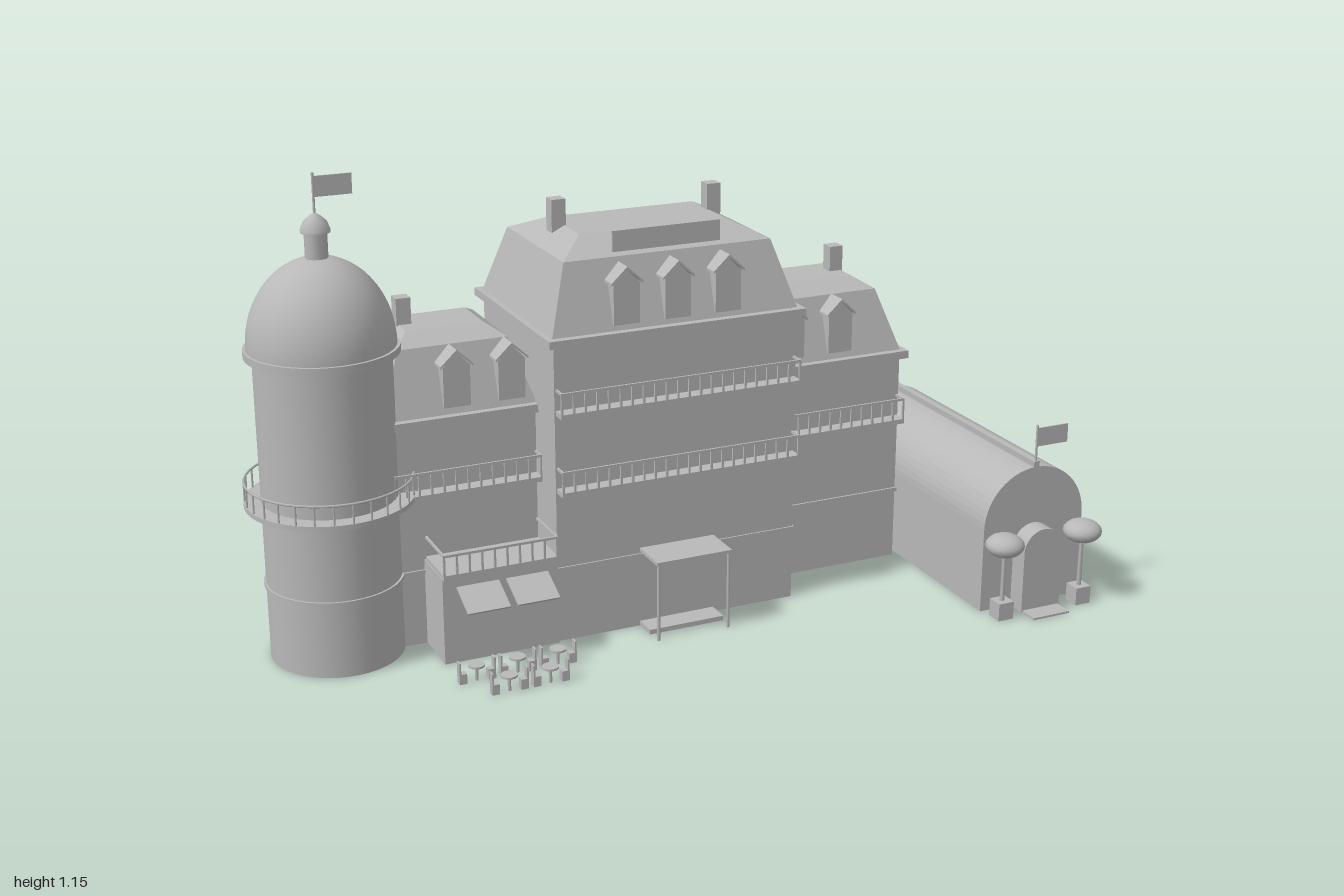
import * as THREE from 'three';

export function createModel() {
  const root = new THREE.Group();
  root.name = 'grandHotel';
  const stone = new THREE.MeshStandardMaterial({ color: 0xb8b8b8, side: THREE.DoubleSide });
  stone.name = 'pale grey';

  const add = (geo, name, x = 0, y = 0, z = 0, parent = root) => {
    const m = new THREE.Mesh(geo, stone);
    m.name = name;
    m.position.set(x, y, z);
    parent.add(m);
    return m;
  };
  // box given by its minimum and maximum corners
  const box = (name, x0, x1, y0, y1, z0, z1, parent = root) =>
    add(new THREE.BoxGeometry(x1 - x0, y1 - y0, z1 - z0), name,
      (x0 + x1) / 2, (y0 + y1) / 2, (z0 + z1) / 2, parent);
  const cyl = (name, rTop, rBot, y0, y1, x, z, seg = 8, parent = root) =>
    add(new THREE.CylinderGeometry(rTop, rBot, y1 - y0, seg), name, x, (y0 + y1) / 2, z, parent);
  const group = (name, x = 0, y = 0, z = 0) => {
    const g = new THREE.Group();
    g.name = name;
    g.position.set(x, y, z);
    root.add(g);
    return g;
  };

  // truncated pyramid between two centred rectangles
  const frustum = (name, w0, d0, w1, d1, y0, y1, x, z) => {
    const g = new THREE.BoxGeometry(1, 1, 1);
    const p = g.attributes.position;
    for (let i = 0; i < p.count; i++) {
      const up = p.getY(i) > 0;
      p.setXYZ(i, p.getX(i) * (up ? w1 : w0), up ? y1 : y0, p.getZ(i) * (up ? d1 : d0));
    }
    g.computeVertexNormals();
    return add(g, name, x, 0, z);
  };

  // mansard roof: steep lower slope and shallow upper slope
  const mansard = (name, x, z, y, w, d, h, topW, topD, topH) => {
    frustum(name + 'LowerRoof', w, d, w - 0.1, d - 0.1, y, y + h, x, z);
    frustum(name + 'UpperRoof', w - 0.1, d - 0.1, topW, topD, y + h, y + h + topH, x, z);
  };

  // gabled dormer window, front face at z
  const dormer = (x, y, z) => {
    const s = new THREE.Shape();
    s.moveTo(-0.033, 0); s.lineTo(0.033, 0); s.lineTo(0.033, 0.098);
    s.lineTo(0, 0.132); s.lineTo(-0.033, 0.098);
    add(new THREE.ExtrudeGeometry(s, { depth: 0.055, bevelEnabled: false }), 'dormer', x, y, z - 0.055);
    const r = new THREE.Shape();
    r.moveTo(-0.04, 0.096); r.lineTo(0, 0.132); r.lineTo(0.04, 0.096);
    r.lineTo(0.04, 0.102); r.lineTo(0, 0.139); r.lineTo(-0.04, 0.102);
    add(new THREE.ExtrudeGeometry(r, { depth: 0.06, bevelEnabled: false }), 'dormerRoof', x, y, z - 0.055);
  };

  // straight balcony: slab, balusters, handrail and side rails
  const balcony = (name, x0, x1, y, zWall, zEdge, h = 0.06) => {
    const g = group(name);
    box('balconySlab', x0, x1, y - 0.008, y + 0.004, zWall, zEdge, g);
    box('handrail', x0, x1, y + h - 0.006, y + h, zEdge - 0.005, zEdge, g);
    for (const x of [x0, x1 - 0.005])
      box('sideRail', x, x + 0.005, y + h - 0.006, y + h, zWall, zEdge, g);
    const n = Math.round((x1 - x0) / 0.03);
    for (let i = 0; i <= n; i++) {
      const x = x0 + 0.0025 + (x1 - x0 - 0.005) * i / n;
      box('baluster', x - 0.0025, x + 0.0025, y, y + h, zEdge - 0.005, zEdge, g);
    }
  };

  const flag = (name, x, y0, y1, z) => {
    cyl(name + 'Pole', 0.003, 0.003, y0, y1, x, z, 6);
    box(name + 'Cloth', x, x + 0.088, y1 - 0.055, y1 - 0.008, z - 0.002, z + 0.002);
  };

  // central block
  box('mainBlock', -0.313, 0.313, 0, 0.74, -0.41, 0.057);
  box('mainCornice', -0.33, 0.33, 0.736, 0.755, -0.43, 0.076);
  mansard('main', 0, -0.177, 0.755, 0.63, 0.467, 0.163, 0.38, 0.19, 0.038);
  box('mainBelt', -0.317, 0.317, 0.18, 0.19, -0.418, 0.061);
  for (const x of [-0.13, 0, 0.13]) dormer(x, 0.768, 0.058);
  for (const x of [-0.203, 0.203]) box('mainChimney', x - 0.018, x + 0.018, 0.9, 1.02, -0.21, -0.175);
  box('roofBoard', -0.138, 0.138, 0.925, 0.975, -0.012, -0.006);
  balcony('upperBalcony', -0.31, 0.31, 0.578, 0.055, 0.093, 0.056);
  balcony('middleBalcony', -0.31, 0.31, 0.386, 0.055, 0.093, 0.056);

  // side wings
  for (const s of [-1, 1]) {
    const c = s * 0.495;
    box('wing', c - 0.185, c + 0.185, 0, 0.55, -0.41, -0.067);
    box('wingCornice', c - 0.2, c + 0.2, 0.546, 0.566, -0.43, -0.048);
    box('wingBelt', c - 0.188, c + 0.188, 0.18, 0.19, -0.418, -0.062);
    mansard('wing', c, -0.238, 0.566, 0.37, 0.343, 0.154, 0.19, 0.13, 0.026);
    box('wingChimney', s * 0.577 - 0.018, s * 0.577 + 0.018, 0.7, 0.81, -0.26, -0.225);
    dormer(s * 0.37, 0.582, -0.066);
    dormer(s * 0.505, 0.582, -0.066);
    balcony('wingBalcony', c - 0.183, c + 0.183, 0.386, -0.067, -0.03);
  }

  // cafe annex with terrace and awnings
  box('cafeAnnex', -0.6, -0.313, 0, 0.215, -0.07, 0.064);
  balcony('cafeTerrace', -0.598, -0.315, 0.221, -0.06, 0.07, 0.055);
  for (const x of [-0.515, -0.393]) {
    const a = add(new THREE.BoxGeometry(0.104, 0.005, 0.086), 'awning', x, 0.172, 0.105);
    a.rotation.x = 0.43;
  }

  // cafe tables, each with two chairs
  for (const [x, z] of [[-0.56, 0.17], [-0.46, 0.17], [-0.36, 0.17], [-0.51, 0.25], [-0.41, 0.25]]) {
    const g = group('cafeTable', x, 0, z);
    cyl('tableTop', 0.02, 0.02, 0.036, 0.041, 0, 0, 12, g);
    cyl('tableLeg', 0.004, 0.004, 0, 0.037, 0, 0, 6, g);
    for (const s of [-1, 1]) {
      const cx = s * 0.035;
      box('chairSeat', cx - 0.009, cx + 0.009, 0, 0.025, -0.009, 0.009, g);
      box('chairBack', s * 0.042 - 0.002, s * 0.042 + 0.002, 0.02, 0.053, -0.009, 0.009, g);
    }
  }

  // entrance canopy and step
  box('entranceCanopy', -0.1, 0.096, 0.195, 0.204, 0.055, 0.16);
  for (const x of [-0.094, 0.09]) cyl('canopyPost', 0.004, 0.004, 0, 0.2, x, 0.153);
  box('entranceStep', -0.1, 0.096, 0, 0.012, 0.055, 0.115);

  // round tower
  const TX = -0.802, TZ = -0.125;
  add(new THREE.CylinderGeometry(0.158, 0.158, 0.74, 40, 1, true), 'towerWall', TX, 0.37, TZ);
  cyl('towerCornice', 0.177, 0.177, 0.736, 0.754, TX, TZ, 40);
  cyl('towerBelt', 0.163, 0.163, 0.181, 0.19, TX, TZ, 40);
  const dome = add(new THREE.SphereGeometry(0.17, 40, 16, 0, Math.PI * 2, 0, Math.PI / 2), 'towerDome', TX, 0.754, TZ);
  dome.scale.y = 0.206 / 0.17;
  cyl('lantern', 0.026, 0.026, 0.95, 1.02, TX, TZ, 10);
  const cap = [[0.034, 0], [0.034, 0.006], [0.027, 0.024], [0.014, 0.036], [0.004, 0.043], [0, 0.045]];
  add(new THREE.LatheGeometry(cap.map(([r, y]) => new THREE.Vector2(r, y)), 16), 'lanternCap', TX, 1.016, TZ);
  flag('towerFlag', TX, 1.05, 1.15, TZ);

  // tower ring balcony
  const ring = group('towerBalcony', TX, 0, TZ);
  cyl('ringSlab', 0.197, 0.197, 0.379, 0.391, 0, 0, 40, ring);
  const rail = add(new THREE.TorusGeometry(0.194, 0.003, 6, 40), 'ringRail', 0, 0.438, 0, ring);
  rail.rotation.x = Math.PI / 2;
  for (let i = 0; i < 28; i++) {
    const a = i / 28 * Math.PI * 2;
    cyl('ringBaluster', 0.0025, 0.0025, 0.388, 0.438, Math.cos(a) * 0.194, Math.sin(a) * 0.194, 5, ring);
  }

  // barrel-vaulted hall with portal
  const HX = 0.838;
  const vault = (name, r, spring, z0, z1, seg) => {
    const s = new THREE.Shape();
    s.moveTo(r, 0);
    s.lineTo(r, spring);
    s.absarc(0, spring, r, 0, Math.PI, false);
    s.lineTo(-r, 0);
    add(new THREE.ExtrudeGeometry(s, { depth: z1 - z0, bevelEnabled: false, curveSegments: seg }), name, HX, 0, z0);
  };
  vault('hall', 0.143, 0.216, -0.358, 0.333, 14);
  vault('hallPortal', 0.055, 0.158, 0.33, 0.382, 12);
  box('hallRidge', HX - 0.008, HX + 0.008, 0.352, 0.373, -0.356, 0.333);
  box('hallStep', HX - 0.052, HX + 0.052, 0, 0.005, 0.38, 0.432);
  flag('hallFlag', HX, 0.36, 0.465, 0.327);

  // potted trees beside the portal
  for (const x of [0.725, 0.951]) {
    box('treePot', x - 0.021, x + 0.021, 0, 0.045, 0.36, 0.402);
    cyl('treeTrunk', 0.005, 0.006, 0.04, 0.18, x, 0.381, 6);
    const crown = add(new THREE.IcosahedronGeometry(0.048, 2), 'treeCrown', x, 0.19, 0.381);
    crown.scale.y = 0.6;
  }
  return root;
}
